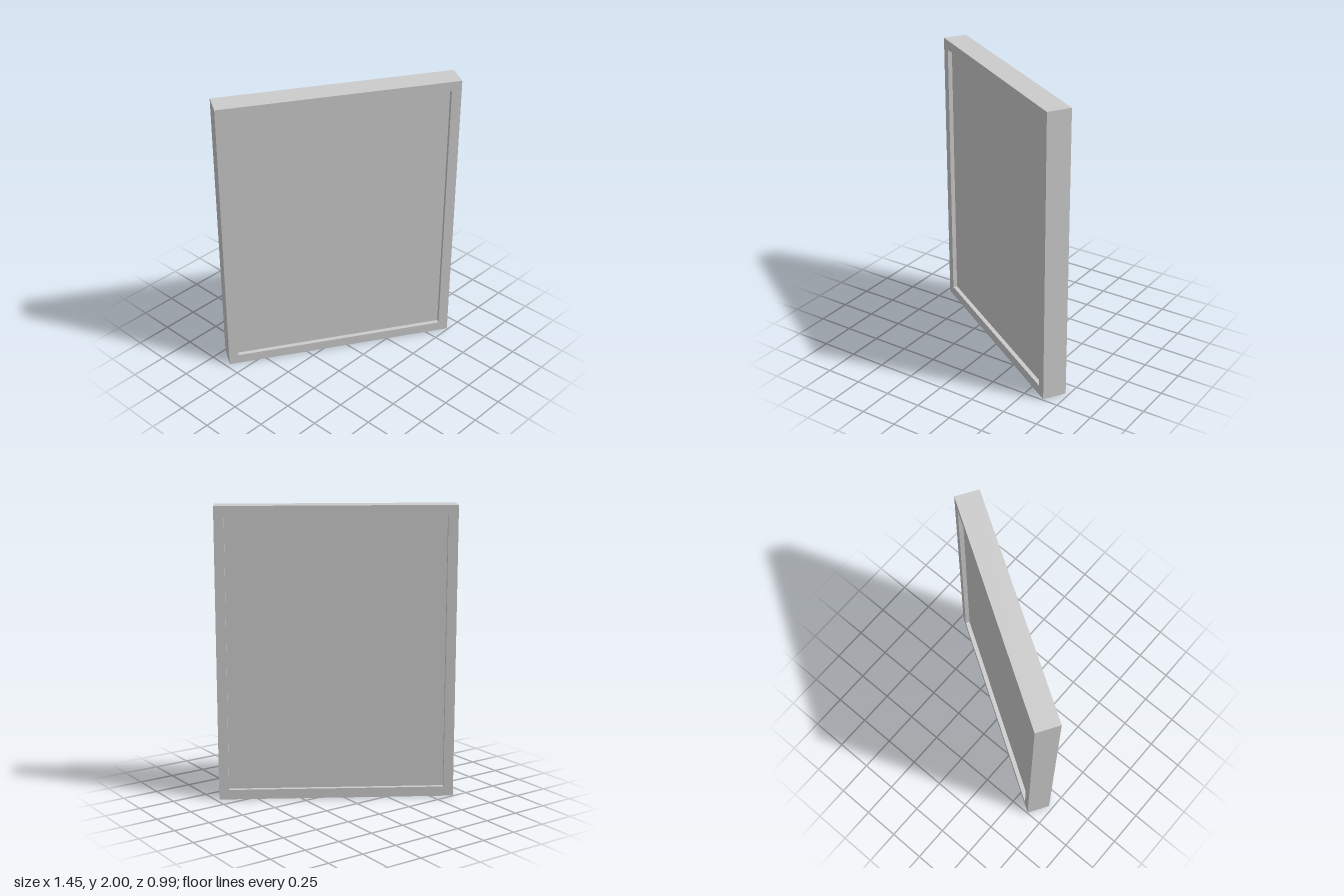
import * as THREE from 'three';

const WIDTH = 1.604, HEIGHT = 1.999, DEPTH = 0.165;
const BORDER = 0.067, RECESS = 0.03;

// Traces a centred rectangle onto a shape or path
function rectangle(path, w, h) {
  path.moveTo(-w / 2, -h / 2);
  path.lineTo(w / 2, -h / 2);
  path.lineTo(w / 2, h / 2);
  path.lineTo(-w / 2, h / 2);
  path.closePath();
  return path;
}

export function createModel() {
  const model = new THREE.Group();
  model.name = 'framedPanel';
  const material = new THREE.MeshStandardMaterial({ color: 0xcccccc, flatShading: true });

  const innerW = WIDTH - 2 * BORDER, innerH = HEIGHT - 2 * BORDER;

  // Rectangular border
  const outline = rectangle(new THREE.Shape(), WIDTH, HEIGHT);
  outline.holes.push(rectangle(new THREE.Path(), innerW, innerH));
  const frameGeometry = new THREE.ExtrudeGeometry(outline, { depth: DEPTH, bevelEnabled: false });
  frameGeometry.translate(0, 0, -DEPTH / 2);
  const frame = new THREE.Mesh(frameGeometry, material);
  frame.name = 'frame';

  // Panel set back from both faces of the frame
  const panel = new THREE.Mesh(new THREE.BoxGeometry(innerW, innerH, DEPTH - 2 * RECESS), material);
  panel.name = 'panel';

  // Turned about the vertical, with a very slight forward lean
  const door = new THREE.Group();
  door.name = 'panelAssembly';
  door.add(frame, panel);
  door.rotation.set(0.0035, THREE.MathUtils.degToRad(-31.9), 0, 'YXZ');
  door.position.y = 1;
  model.add(door);
  return model;
}
